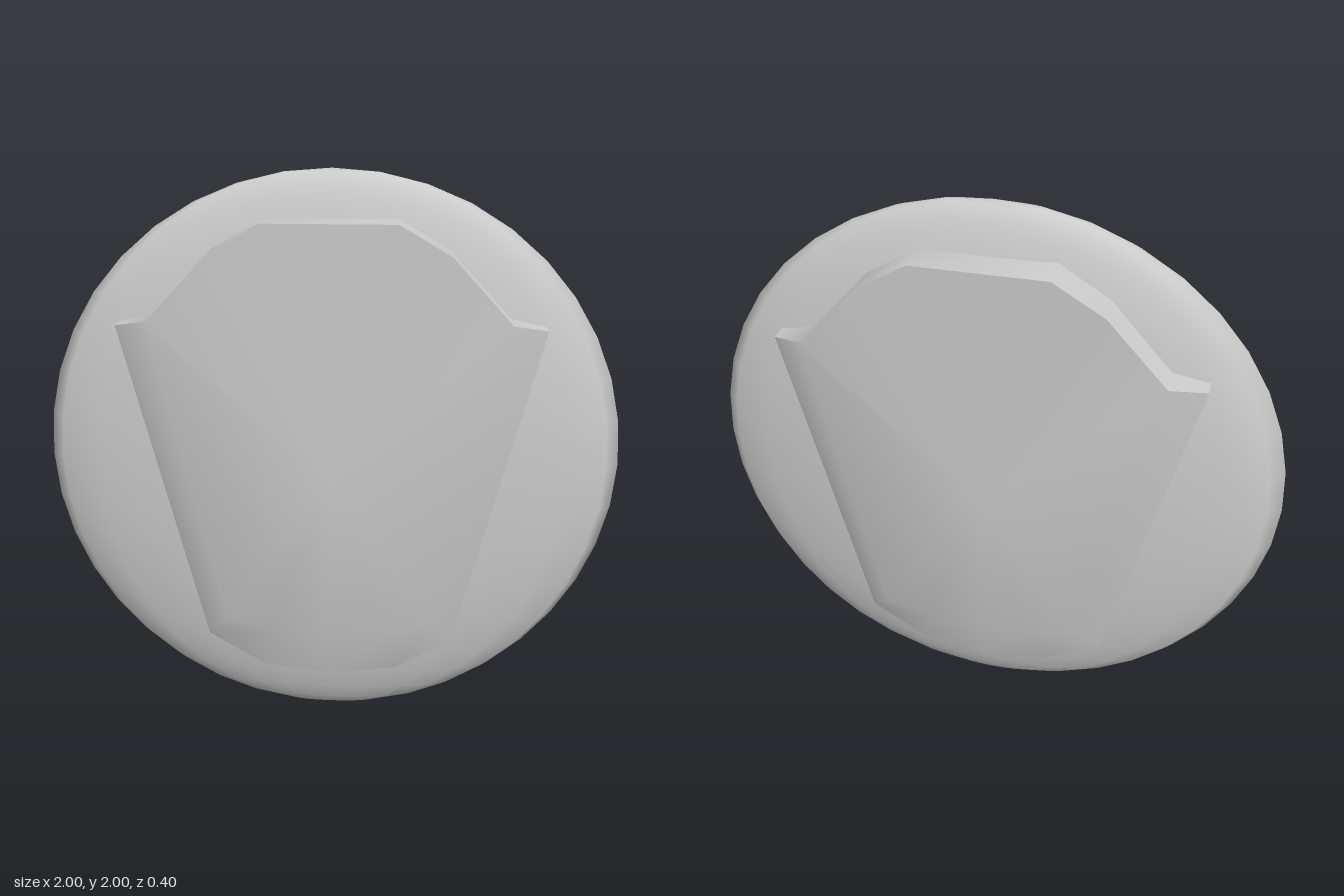
import * as THREE from 'three';
import { toCreasedNormals } from 'three/addons/utils/BufferGeometryUtils.js';

const material = new THREE.MeshStandardMaterial({ color: 0xcccccc });

// Half outlines of the raised plate, top to bottom: [x, y, z]
const RIM = [
  [0.22, 1.85, 0.2], [0.39, 1.75, 0.2], [0.59, 1.535, 0.2], [0.71, 1.505, 0.135],
  [0.44, 0.36, 0.135], [0.24, 0.24, 0.14], [0, 0.22, 0.16],
];
// Edge of the flat face, inside the bevel
const FACE = [
  [0.22, 1.85, 0.2], [0.39, 1.75, 0.2], [0.59, 1.535, 0.2], [0.59, 1.5, 0.2],
  [0.36, 0.46, 0.2], [0.2, 0.41, 0.2], [0, 0.4, 0.2],
];

// Close a half outline with its mirror image (clockwise seen from the front)
const mirrored = (half) => [
  ...half,
  ...half.slice(0, -1).reverse().map(([x, y, z]) => [-x, y, z]),
];

function plateGeometry() {
  const rim = mirrored(RIM), face = mirrored(FACE);
  const base = rim.map(([x, y]) => [x, y, 0.02]);
  const centre = [0, 1, 0.2];
  const pos = [];
  const quad = (a, b, c, d) => pos.push(...a, ...b, ...c, ...a, ...c, ...d);
  rim.forEach((p, i) => {
    const j = (i + 1) % rim.length;
    pos.push(...centre, ...face[j], ...face[i]); // flat face
    // bevel, left out where the face meets the rim
    if (face[i].join() !== p.join() || face[j].join() !== rim[j].join())
      quad(face[i], face[j], rim[j], p);
    quad(p, rim[j], base[j], base[i]); // side wall
  });
  const g = new THREE.BufferGeometry();
  g.setAttribute('position', new THREE.Float32BufferAttribute(pos, 3));
  return toCreasedNormals(g, 0.75);
}

export function createModel() {
  const model = new THREE.Group();
  model.name = 'shieldedDisc';

  // Lens-shaped body
  const lens = new THREE.SphereGeometry(1, 20, 20);
  lens.scale(1, 1, 0.156).translate(0, 1, 0);
  const disc = new THREE.Mesh(lens, material);
  disc.name = 'disc';
  model.add(disc);

  // Matching raised plates on both faces
  const plate = plateGeometry();
  for (const [name, turn] of [['frontPlate', 0], ['backPlate', Math.PI]]) {
    const mesh = new THREE.Mesh(plate, material);
    mesh.name = name;
    mesh.rotation.y = turn;
    model.add(mesh);
  }
  return model;
}
